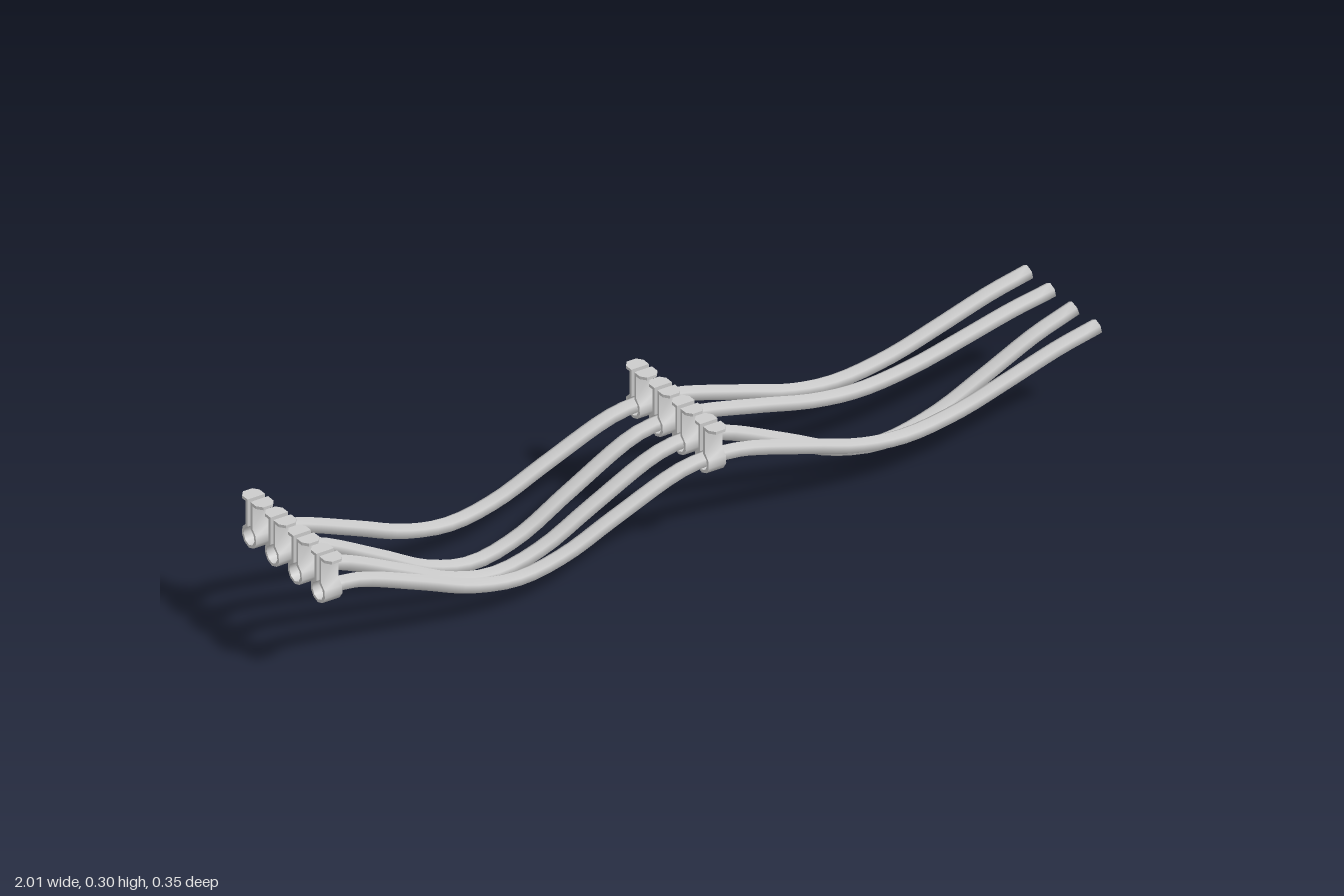
import * as THREE from 'three';
import { toCreasedNormals } from 'three/addons/utils/BufferGeometryUtils.js';

const material = new THREE.MeshStandardMaterial({ color: 0xcccccc });
const V2 = (x, y) => new THREE.Vector2(x, y);
const CABLE_Y = 0.212, CABLE_R = 0.0185, RING_Y = 0.209;
const CLAMP_W = 0.045, CLAMP_X = [-0.9775, 0.0075];

function part(geometry, name) {
  const mesh = new THREE.Mesh(geometry, material);
  mesh.name = name;
  return mesh;
}

// Hexagonal cable hanging in two spans, with its own lowest centre height in each
function cableGeometry(low1, low2) {
  const [a, b] = CLAMP_X;
  const hang = (from, to, low, profile) => profile.map(([t, s]) =>
    new THREE.Vector3(from + (to - from) * t, CABLE_Y - s * (CABLE_Y - low), 0));
  const down = [[0, 0], [0.08, 0.06], [0.25, 0.5], [0.38, 0.86], [0.5, 1]];
  const up = [[0.62, 0.86], [0.75, 0.5], [0.92, 0.06]];
  const freeEnd = [[0.64, 0.85], [0.77, 0.53], [0.9, 0.19], [1, 0]];
  const path = new THREE.CatmullRomCurve3([
    ...hang(a, b, low1, [...down, ...up]),
    ...hang(b, 1, low2, [...down, ...freeEnd]),
  ], false, 'centripetal');
  const hex = new THREE.Shape(Array.from({ length: 6 }, (_, i) => {
    const angle = Math.PI / 2 + i * Math.PI / 3;
    return V2(Math.cos(angle) * CABLE_R, Math.sin(angle) * CABLE_R);
  }));
  return toCreasedNormals(
    new THREE.ExtrudeGeometry(hex, { steps: 56, extrudePath: path }), 1.2);
}

// Bent strap: an open ring around the cable with two legs going up
function strapGeometry() {
  const arc = (r, halfGap, n) => {
    const start = Math.asin(halfGap / r);
    return Array.from({ length: n + 1 }, (_, i) => {
      const angle = start + (2 * Math.PI - 2 * start) * i / n;
      return V2(Math.sin(angle) * r, RING_Y + Math.cos(angle) * r);
    });
  };
  const outline = [
    V2(0.006, 0.296), V2(0.013, 0.296), ...arc(0.0285, 0.013, 8),
    V2(-0.013, 0.296), V2(-0.006, 0.296), ...arc(0.0215, 0.006, 8).reverse(),
  ];
  const geometry = new THREE.ExtrudeGeometry(new THREE.Shape(outline),
    { depth: CLAMP_W, bevelEnabled: false });
  geometry.translate(0, 0, -CLAMP_W / 2).rotateY(Math.PI / 2);
  return toCreasedNormals(geometry, 0.9);
}

// Flat mounting tab with cut corners
function tabGeometry() {
  const w = CLAMP_W / 2;
  const shape = new THREE.Shape([V2(-w, 0.006), V2(w, 0.006), V2(w, 0.027),
    V2(0.012, 0.04), V2(-0.012, 0.04), V2(-w, 0.027)]);
  return new THREE.ExtrudeGeometry(shape, { depth: 0.007, bevelEnabled: false })
    .rotateX(Math.PI / 2).translate(0, 0.298, 0);
}

export function createModel() {
  const model = new THREE.Group();
  model.name = 'hangingCables';
  const strap = strapGeometry(), tab = tabGeometry();

  // Depth position, then lowest centre height of each span
  const cables = [
    [0.135, 0.07, 0.1],
    [0.045, 0.037, 0.039],
    [-0.045, 0.0185, 0.124],
    [-0.135, 0.07, 0.1],
  ];
  for (const [z, low1, low2] of cables) {
    const cable = part(cableGeometry(low1, low2), 'cable');
    cable.position.z = z;
    model.add(cable);

    for (const x of CLAMP_X) {
      const clamp = new THREE.Group();
      clamp.name = 'clamp';
      clamp.position.set(x, 0, z);
      clamp.add(part(strap, 'strap'));
      for (const turn of [0, Math.PI]) {
        const mountingTab = part(tab, 'mountingTab');
        mountingTab.rotation.y = turn;
        clamp.add(mountingTab);
      }
      model.add(clamp);
    }
  }
  return model;
}
